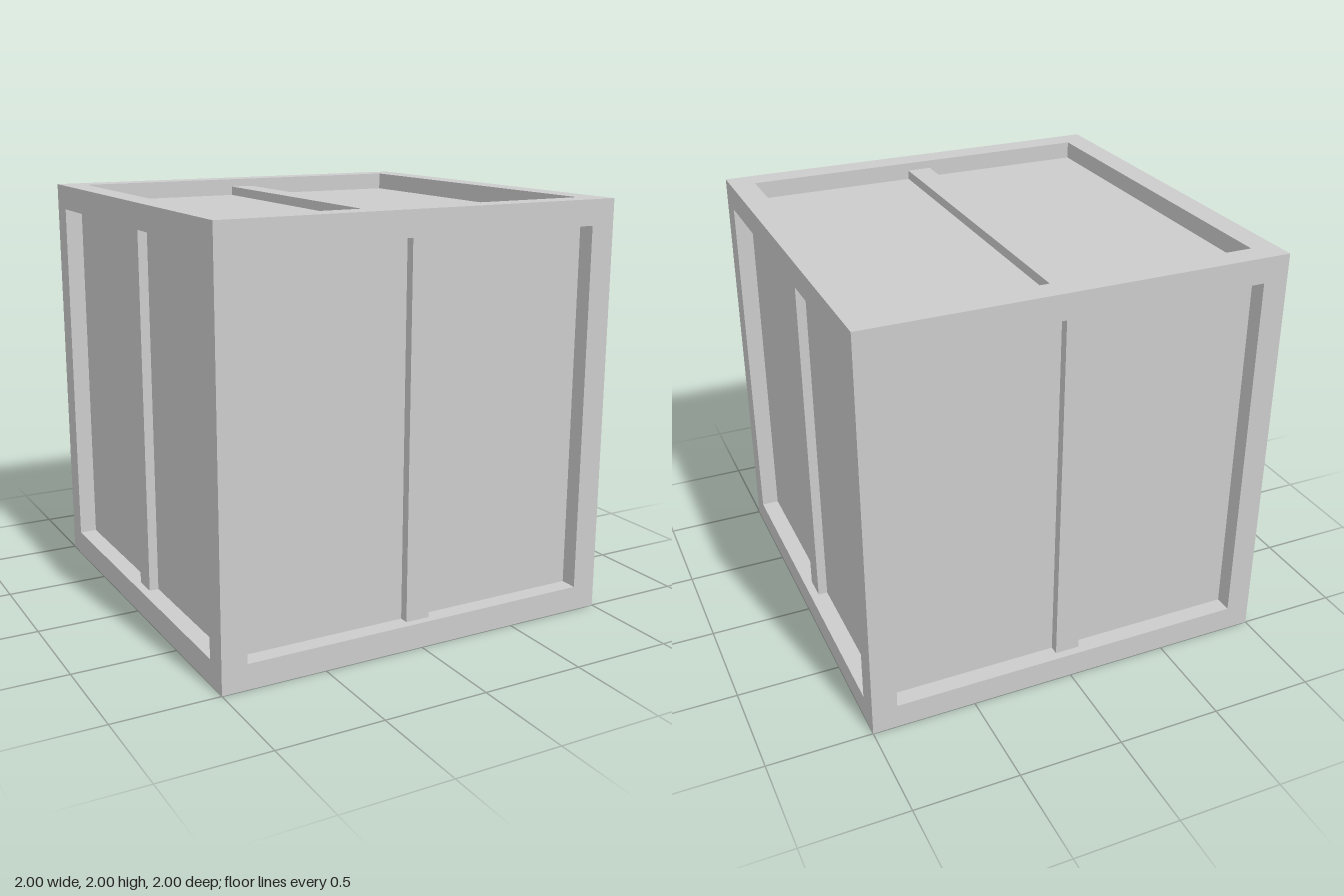
import * as THREE from 'three';

const SIZE = 2;             // outer edge of the crate
const BEAM = 0.12;          // width of frame beams and battens
const PANEL_INSET = 0.085;  // panel depth below the frame
const BATTEN_INSET = 0.04;  // batten depth below the frame

export function createModel() {
  const crate = new THREE.Group();
  crate.name = 'crate';
  const material = new THREE.MeshStandardMaterial({ color: 0xcccccc, flatShading: true });

  const addBox = (parent, name, size, position) => {
    const mesh = new THREE.Mesh(new THREE.BoxGeometry(...size), material);
    mesh.name = name;
    mesh.position.set(...position);
    parent.add(mesh);
  };

  const half = SIZE / 2;
  const inner = SIZE - 2 * BEAM;
  const edge = half - BEAM / 2;

  // Closed body whose six sides are the recessed panels
  const body = SIZE - 2 * PANEL_INSET;
  addBox(crate, 'panels', [body, body, body], [0, half, 0]);

  // Frame: full-height corner posts with rails fitted between them
  const frame = new THREE.Group();
  frame.name = 'frame';
  crate.add(frame);
  for (const a of [-1, 1]) {
    for (const b of [-1, 1]) {
      addBox(frame, 'cornerPost', [BEAM, SIZE, BEAM], [a * edge, half, b * edge]);
      addBox(frame, 'widthRail', [inner, BEAM, BEAM], [0, half + a * edge, b * edge]);
      addBox(frame, 'depthRail', [BEAM, BEAM, inner], [a * edge, half + b * edge, 0]);
    }
  }

  // One batten down the middle of every side
  const thick = PANEL_INSET - BATTEN_INSET;
  const offset = half - BATTEN_INSET - thick / 2;
  for (const s of [-1, 1]) {
    addBox(crate, s > 0 ? 'frontBatten' : 'backBatten', [BEAM, inner, thick], [0, half, s * offset]);
    addBox(crate, s > 0 ? 'leftBatten' : 'rightBatten', [thick, inner, BEAM], [s * offset, half, 0]);
    addBox(crate, s > 0 ? 'topBatten' : 'bottomBatten', [BEAM, thick, inner], [0, half + s * offset, 0]);
  }

  return crate;
}
